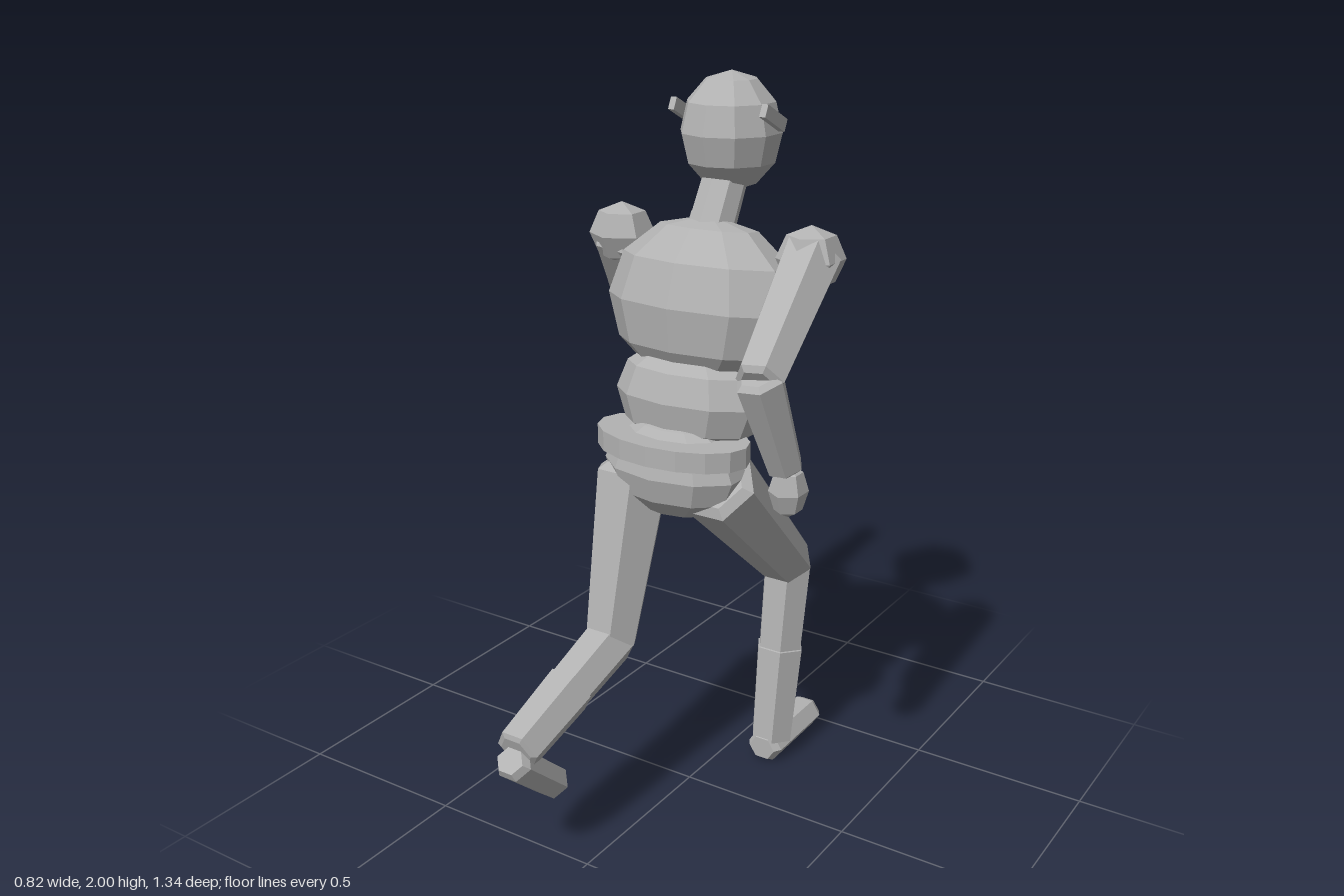
import * as THREE from 'three';

const grey = new THREE.MeshStandardMaterial({ color: 0xb2b2b2 });
grey.name = 'plain grey';

// Faceted mesh: split the faces so each keeps its own normal
function facet(name, geometry) {
  const g = geometry.index ? geometry.toNonIndexed() : geometry;
  g.computeVertexNormals();
  const mesh = new THREE.Mesh(g, grey);
  mesh.name = name;
  return mesh;
}

// Low-poly ellipsoid with an edge line facing front and back
function ball(name, [x, y, z], [rx, ry, rz], sides = 10, rings = 6, tilt = 0) {
  const g = new THREE.SphereGeometry(1, sides, rings);
  g.rotateY(Math.PI / 2).scale(rx, ry, rz).rotateX(tilt);
  const mesh = facet(name, g);
  mesh.position.set(x, y, z);
  return mesh;
}

// Tapered six-sided limb with chamfered ends running from a to b
function limb(name, a, b, ra, rb, { cap = 0.2, flat = 1, sides = 6 } = {}) {
  const start = new THREE.Vector3(...a);
  const up = new THREE.Vector3(...b).sub(start);
  const len = up.length();
  up.normalize();
  const profile = [
    [0, -cap * ra], [0.75 * ra, -cap * ra], [ra, 0],
    [rb, len], [0.75 * rb, len + cap * rb], [0, len + cap * rb],
  ].map(([r, y]) => new THREE.Vector2(r, y));
  const g = new THREE.LatheGeometry(profile, sides, Math.PI / 2);
  g.scale(1, 1, flat);
  const side = new THREE.Vector3(1, 0, 0).addScaledVector(up, -up.x).normalize();
  const depth = new THREE.Vector3().crossVectors(side, up);
  g.applyMatrix4(new THREE.Matrix4().makeBasis(side, up, depth).setPosition(start));
  return facet(name, g);
}

const mix = (a, b, t) => a.map((v, i) => v + (b[i] - v) * t);

function makeLeg(side, p) {
  const leg = new THREE.Group();
  leg.name = side + 'Leg';
  const mid = mix(p.knee, p.ankle, 0.47);
  leg.add(
    limb('thigh', p.hip, p.knee, 0.108, 0.076),
    limb('shin', p.knee, mid, 0.074, 0.068),
    limb('boot', mid, p.ankle, 0.073, 0.064, { cap: 0.1 }),
    limb('foot', p.heel, p.toe, 0.055, 0.053, { cap: 0.4, flat: 0.88 }),
  );
  return leg;
}

function makeArm(side, p) {
  const arm = new THREE.Group();
  arm.name = side + 'Arm';
  arm.add(
    ball('shoulder', p.shoulder, [0.09, 0.085, 0.09], 6, 4),
    limb('upperArm', p.shoulder, p.elbow, 0.082, 0.064),
    limb('forearm', p.elbow, p.wrist, 0.064, 0.047),
    ball('hand', p.hand, [0.05, 0.071, 0.055], 6, 4),
  );
  return arm;
}

export function createModel() {
  const runner = new THREE.Group();
  runner.name = 'runningFigure';

  // Head, neck and torso
  runner.add(
    ball('head', [0, 1.845, -0.2], [0.136, 0.155, 0.14]),
    limb('neck', [0, 1.56, -0.08], [0, 1.74, -0.18], 0.064, 0.06, { sides: 8 }),
    ball('chest', [0, 1.415, -0.07], [0.282, 0.23, 0.178], 10, 6, -0.12),
    ball('waist', [0, 1.175, -0.005], [0.22, 0.155, 0.138], 10, 6, -0.1),
    ball('pelvis', [0, 1.0, 0.07], [0.21, 0.135, 0.125]),
  );

  // Belt
  const belt = facet('belt', new THREE.CylinderGeometry(1, 1, 0.055, 16).scale(0.225, 1, 0.13));
  belt.position.set(0, 1.07, 0.08);
  runner.add(belt);

  // Slanted bars on the sides of the head
  for (const s of [-1, 1]) {
    const bar = facet('headBar', new THREE.BoxGeometry(0.018, 0.034, 0.11));
    bar.position.set(s * 0.137, 1.89, -0.18);
    bar.rotation.x = -0.45;
    runner.add(bar);
  }

  // Round chest badge with a slanted bar
  const badge = facet('chestBadge', new THREE.CylinderGeometry(0.075, 0.075, 0.022, 16).rotateX(Math.PI / 2));
  badge.position.set(0, 1.43, -0.247);
  const badgeBar = facet('badgeBar', new THREE.BoxGeometry(0.028, 0.115, 0.008));
  badgeBar.position.set(0, 1.43, -0.261);
  badgeBar.rotation.z = -0.7;
  runner.add(badge, badgeBar);

  // Left leg steps forward, right leg kicks back
  runner.add(
    makeLeg('left', {
      hip: [0.13, 0.97, 0.06], knee: [0.13, 0.6, -0.325], ankle: [0.13, 0.06, -0.25],
      heel: [0.13, 0.044, -0.215], toe: [0.13, 0.044, -0.455],
    }),
    makeLeg('right', {
      hip: [-0.13, 0.96, 0.075], knee: [-0.13, 0.505, 0.195], ankle: [-0.13, 0.365, 0.61],
      heel: [-0.13, 0.335, 0.625], toe: [-0.13, 0.2, 0.475],
    }),
  );

  // Left arm swings back, right arm reaches forward
  runner.add(
    makeArm('left', {
      shoulder: [0.288, 1.56, -0.12], elbow: [0.34, 1.335, 0.215],
      wrist: [0.365, 1.09, 0.125], hand: [0.37, 1.025, 0.115],
    }),
    makeArm('right', {
      shoulder: [-0.292, 1.56, -0.115], elbow: [-0.345, 1.31, -0.265],
      wrist: [-0.352, 1.45, -0.565], hand: [-0.352, 1.48, -0.62],
    }),
  );

  return runner;
}
